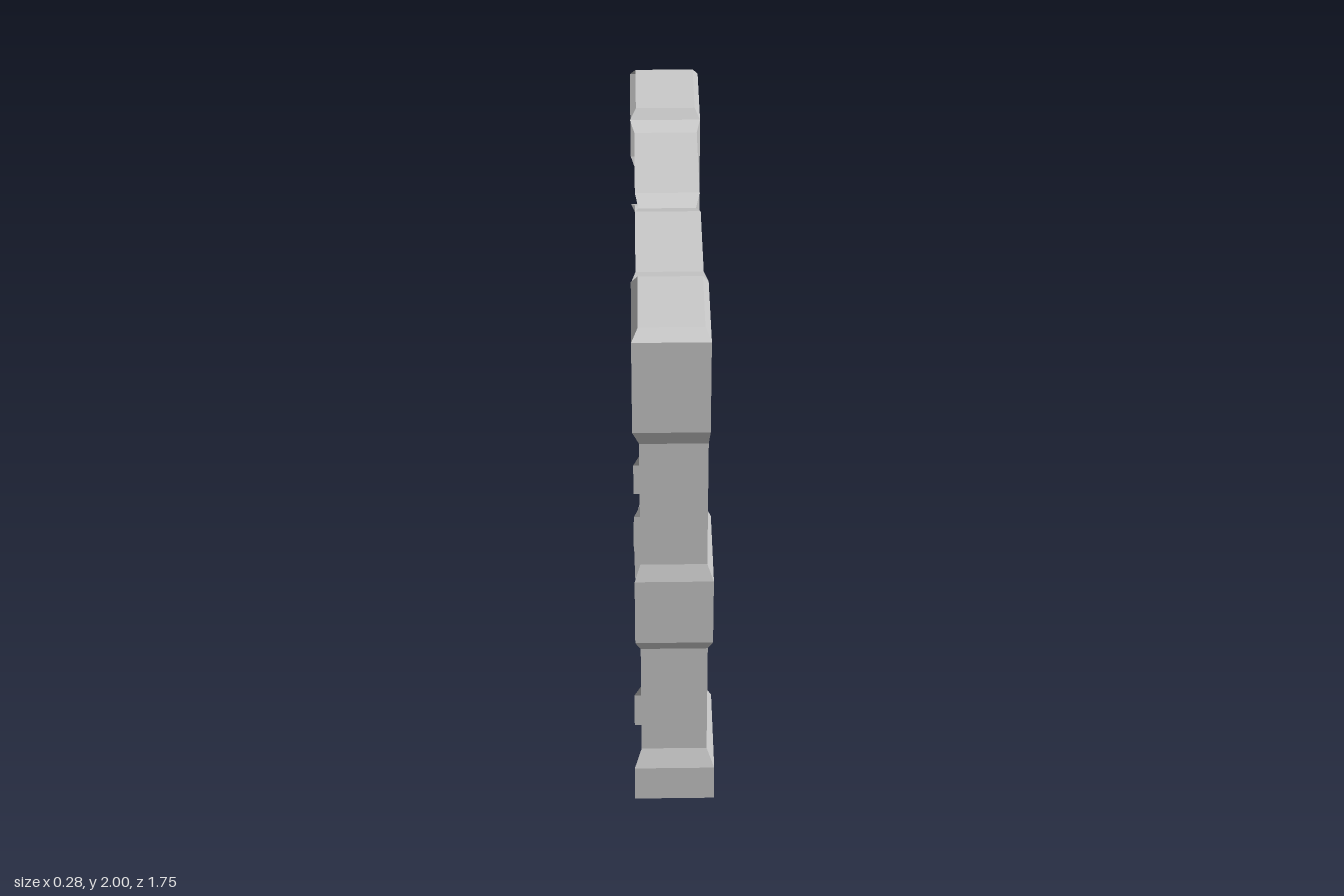
import * as THREE from 'three';

const material = new THREE.MeshStandardMaterial({
  color: 0xcccccc, flatShading: true, side: THREE.DoubleSide,
});

// Flat-shaded sheet from quads of [x, y, z] corners
function sheet(name, quads, flip = false) {
  const pos = [];
  for (const [a, b, c, d] of quads) {
    const order = flip ? [a, c, b, a, d, c] : [a, b, c, a, c, d];
    for (const p of order) pos.push(...p);
  }
  const geometry = new THREE.BufferGeometry();
  geometry.setAttribute('position', new THREE.Float32BufferAttribute(pos, 3));
  geometry.computeVertexNormals();
  const mesh = new THREE.Mesh(geometry, material);
  mesh.name = name;
  return mesh;
}

// Quads joining two matching loops of points
const bridge = (p, q) => p.map((_, i) => {
  const j = (i + 1) % p.length;
  return [p[i], p[j], q[j], q[i]];
});

// Pillar levels: y, back x, front x, inner z, outer z
const levels = [
  [0, -0.14, 0.14, 0.5, 0.873],
  [0.15, -0.14, 0.14, 0.5, 0.873],
  [0.22, -0.115, 0.113, 0.527, 0.845],
  [0.69, -0.115, 0.113, 0.527, 0.845],
  [0.73, -0.133, 0.13, 0.515, 0.86],
  [1.0, -0.133, 0.13, 0.515, 0.86],
  [1.06, -0.113, 0.108, 0.53, 0.841],
  [1.56, -0.113, 0.108, 0.53, 0.841],
  [1.62, -0.135, 0.113, 0.522, 0.863],
  [1.965, -0.135, 0.113, 0.522, 0.863],
  [2.0, -0.114, 0.094, 0.545, 0.83],
];
// Recessed panels by level index: bottom y, top y
const panels = { 2: [0.265, 0.643], 6: [1.105, 1.515] };
const panelZ = [0.8, 0.578], panelDepth = 0.065, blockLevel = 8;

// Hollow pillar, open at the back; s = 1 at the front end, -1 at the rear
function pillar(name, s) {
  const group = new THREE.Group();
  group.name = name;
  const rings = levels.map(([y, xb, xf, zi, zo]) =>
    [[xb, y, s * zo], [xf, y, s * zo], [xf, y, s * zi], [xb, y, s * zi]]);
  const walls = [];
  for (let i = 0; i < rings.length - 1; i++) {
    const [outer, face, inner, back] = bridge(rings[i], rings[i + 1]);
    walls.push(outer);
    if (i !== blockLevel) walls.push(inner); // the beam opens into the block
    if (i === rings.length - 2 && s > 0) walls.push(back);
    if (!panels[i]) {
      walls.push(face);
      continue;
    }
    // Wall around the opening, then the recess behind it
    const [y0, y1] = panels[i], [z0, z1] = panelZ, x = levels[i][2];
    const rim = (px) => [[px, y0, s * z0], [px, y0, s * z1], [px, y1, s * z1], [px, y1, s * z0]];
    const opening = rim(x), floor = rim(x - panelDepth);
    walls.push(...bridge(face, opening));
    group.add(sheet('recessedPanel', [...bridge(opening, floor), floor], s < 0));
  }
  group.add(sheet('pillarWalls', walls, s < 0));
  group.add(sheet('pillarTop', [rings[rings.length - 1]], s < 0));
  return group;
}

// Hollow lintel beam, open at the back, with a notch at mid-span
function beam() {
  // z, bottom y, top y, back x, front x
  const sections = [
    [0.522, 1.625, 1.965, -0.133, 0.113],
    [0.43, 1.645, 1.943, -0.12, 0.1],
    [0.06, 1.645, 1.943, -0.12, 0.1],
    [0.005, 1.663, 1.922, -0.108, 0.086],
    [-0.06, 1.645, 1.943, -0.12, 0.1],
    [-0.47, 1.645, 1.943, -0.12, 0.1],
    [-0.522, 1.62, 1.965, -0.135, 0.113],
  ].map(([z, yb, yt, xb, xf]) => [[xb, yb, z], [xf, yb, z], [xf, yt, z], [xb, yt, z]]);
  const quads = [];
  for (let i = 0; i < sections.length - 1; i++) {
    const p = sections[i], q = sections[i + 1];
    for (let j = 0; j < 3; j++) quads.push([p[j], q[j], q[j + 1], p[j + 1]]);
  }
  return sheet('lintelBeam', quads);
}

export function createModel() {
  const model = new THREE.Group();
  model.name = 'doorFrame';
  model.add(pillar('frontPillar', 1), pillar('rearPillar', -1), beam());
  return model;
}
